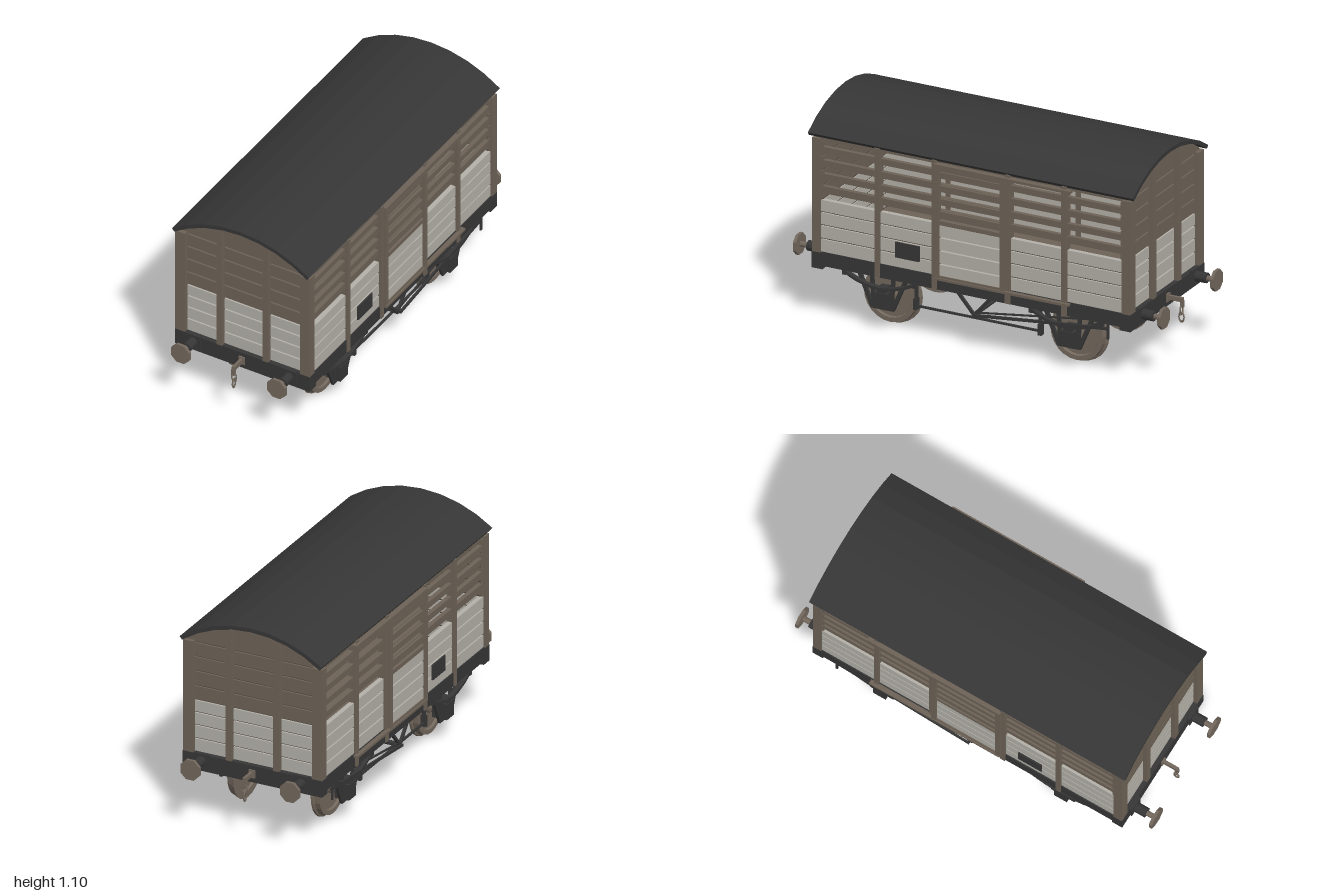
import * as THREE from 'three';

const mat = (name, color) => Object.assign(new THREE.MeshStandardMaterial({ color }), { name });

export function createModel() {
  const wood = mat('brownWood', 0x6d6256);
  const pale = mat('paleBoards', 0xb3b0a8);
  const iron = mat('darkIron', 0x363636);
  const steel = mat('wornSteel', 0x72675c);
  const groove = mat('grooveBrown', 0x4a4239);
  for (const m of [wood, pale, iron, steel, groove]) m.flatShading = true;
  const model = new THREE.Group();
  model.name = 'coveredWagon';

  const add = (name, geo, m, x = 0, y = 0, z = 0) => {
    const mesh = new THREE.Mesh(geo, m);
    mesh.name = name;
    mesh.position.set(x, y, z);
    model.add(mesh);
    return mesh;
  };
  // box given by its limits on each axis
  const box = (name, m, x0, x1, y0, y1, z0, z1) =>
    add(name, new THREE.BoxGeometry(Math.abs(x1 - x0), y1 - y0, Math.abs(z1 - z0)), m,
      (x0 + x1) / 2, (y0 + y1) / 2, (z0 + z1) / 2);
  // square bar between two points
  const bar = (name, m, a, b, w, h = w) => {
    const p = new THREE.Vector3(...a), q = new THREE.Vector3(...b);
    const mesh = add(name, new THREE.BoxGeometry(w, h, p.distanceTo(q)), m);
    mesh.position.copy(p).add(q).multiplyScalar(0.5);
    mesh.lookAt(q);
    return mesh;
  };
  const rod = (name, m, r, len, axis, x, y, z, sides = 12) => {
    const g = new THREE.CylinderGeometry(r, r, len, sides, 1);
    if (sides === 8) g.rotateY(Math.PI / 8);
    if (axis === 'x') g.rotateZ(Math.PI / 2);
    if (axis === 'z') g.rotateX(Math.PI / 2);
    return add(name, g, m, x, y, z);
  };

  // arched roof
  const R = 0.655, cy = 0.445, half = Math.asin(0.385 / R);
  const arc = (r, a, n = 8) => Array.from({ length: n + 1 }, (_, i) => {
    const t = -a + (2 * a * i) / n;
    return new THREE.Vector2(r * Math.sin(t), cy + r * Math.cos(t));
  });
  const extrude = (pts, depth) => new THREE.ExtrudeGeometry(new THREE.Shape(pts), { depth, bevelEnabled: false });
  add('roof', extrude([...arc(R, half), ...arc(R - 0.02, half).reverse()], 1.77), iron, 0, 0, -0.885);

  const paleRows = [0.36, 0.432, 0.502, 0.57, 0.636];
  const endRows = [0.636, 0.712, 0.79, 0.866, 0.942];
  const gap = 0.004;
  const roofUnder = x => cy + Math.sqrt((R - 0.018) ** 2 - x * x) - 0.006;

  // floor
  box('floor', wood, -0.35, 0.35, 0.335, 0.36, -0.82, 0.82);

  // end walls, headstocks, buffers and couplings
  for (const s of [1, -1]) {
    box('endBacking', groove, -0.36, 0.36, 0.36, 0.945, s * 0.815, s * 0.835);
    for (const [rows, m] of [[paleRows, pale], [endRows, wood]])
      for (let i = 0; i < 4; i++)
        box('endBoard', m, -0.37, 0.37, rows[i] + gap, rows[i + 1] - gap, s * 0.81, s * 0.845);
    const top = arc(R - 0.02, Math.asin(0.365 / (R - 0.02)));
    add('endGable', extrude([new THREE.Vector2(-0.365, 0.946), ...top, new THREE.Vector2(0.365, 0.946)], 0.035),
      wood, 0, 0, s > 0 ? 0.81 : -0.845);
    for (const k of [1, -1]) {
      box('endPost', wood, k * 0.113, k * 0.145, 0.36, roofUnder(0.145), s * 0.84, s * 0.868);
      box('cornerPost', wood, k * 0.323, k * 0.378, 0.36, roofUnder(0.378), s * 0.82, s * 0.866);
      // buffer: base, housing, ram and eight-sided head
      box('bufferBase', iron, k * 0.27 - 0.04, k * 0.27 + 0.04, 0.297, 0.373, s * 0.865, s * 0.882);
      rod('bufferHousing', iron, 0.026, 0.065, 'z', k * 0.27, 0.335, s * 0.91);
      rod('bufferRam', steel, 0.014, 0.05, 'z', k * 0.27, 0.335, s * 0.963);
      rod('bufferHead', steel, 0.056, 0.016, 'z', k * 0.27, 0.335, s * 0.992, 8);
    }
    box('headstock', iron, -0.378, 0.378, 0.275, 0.362, s * 0.81, s * 0.868);
    // draw hook with hanging links
    box('drawPlate', steel, -0.016, 0.016, 0.3, 0.342, s * 0.865, s * 0.876);
    box('drawHook', steel, -0.008, 0.008, 0.312, 0.334, s * 0.87, s * 0.955);
    box('hookTip', steel, -0.008, 0.008, 0.285, 0.32, s * 0.94, s * 0.958);
    for (let i = 0; i < 2; i++) {
      const link = add('chainLink', new THREE.TorusGeometry(0.014, 0.004, 6, 10), steel, 0, 0.27 - i * 0.038, s * 0.945);
      link.scale.y = 1.7;
      link.rotation.y = i ? Math.PI / 2 : 0;
    }
  }

  const slats = [[0.668, 0.704], [0.738, 0.77], [0.807, 0.84], [0.877, 0.909]];
  for (const s of [1, -1]) {
    const side = (name, m, x0, x1, ...rest) => box(name, m, s * x0, s * x1, ...rest);

    // side boards and open slats
    side('sideBacking', groove, 0.348, 0.36, 0.36, 0.63, -0.82, 0.82);
    for (let i = 0; i < 4; i++) {
      side('sideBoard', pale, 0.345, 0.37, paleRows[i] + gap, paleRows[i + 1] - gap, -0.825, 0.825);
      side('sideSlat', wood, 0.345, 0.368, ...slats[i], -0.825, 0.825);
      side('doorBoard', pale, 0.372, 0.386, paleRows[i] + gap, paleRows[i + 1] - gap, -0.18, 0.18);
      side('doorSlat', wood, 0.372, 0.386, ...slats[i], -0.18, 0.18);
    }
    side('topRail', wood, 0.345, 0.372, 0.945, 0.975, -0.825, 0.825);
    for (const z of [0.51, 0.2, -0.2, -0.508])
      side('sidePost', wood, 0.34, 0.384, 0.295, 0.965, z - 0.013, z + 0.013);

    // sliding door frame and its rails
    for (const z of [0.18, -0.18])
      side('doorStile', wood, 0.372, 0.397, 0.352, 0.952, z - 0.013, z + 0.013);
    for (const [a, b] of [[0.352, 0.372], [0.636, 0.658], [0.916, 0.952]])
      side('doorRail', wood, 0.372, 0.392, a, b, -0.18, 0.18);
    side('doorTopTrack', wood, 0.37, 0.4, 0.938, 0.952, -0.55, 0.19);
    side('doorBottomTrack', wood, 0.37, 0.4, 0.35, 0.362, -0.54, 0.19);

    // notice plate
    side('noticePlate', iron, 0.37, 0.378, 0.415, 0.495, 0.283, 0.415);

    // solebar
    side('solebar', iron, 0.335, 0.376, 0.292, 0.364, -0.82, 0.82);

    // running gear at each axle
    for (const z of [0.508, -0.508]) {
      side('axleBox', iron, 0.275, 0.355, 0.118, 0.2, z - 0.036, z + 0.036);
      side('axleBoxCap', iron, 0.29, 0.35, 0.2, 0.225, z - 0.022, z + 0.022);
      side('axleGuardFoot', iron, 0.318, 0.333, 0.108, 0.124, z - 0.06, z + 0.06);
      const leaf = new THREE.CatmullRomCurve3([-0.19, -0.1, 0, 0.1, 0.19].map(d =>
        new THREE.Vector3(s * 0.352, 0.226 + 1.5 * d * d, z + d)));
      const pts = leaf.getPoints(6);
      for (let i = 0; i < 6; i++) bar('leafSpring', iron, pts[i].toArray(), pts[i + 1].toArray(), 0.026, 0.014);
      for (const k of [1, -1]) {
        bar('axleGuardLeg', iron, [s * 0.326, 0.3, z + k * 0.135], [s * 0.326, 0.112, z + k * 0.054], 0.014, 0.02);
        bar('axleGuardInner', iron, [s * 0.326, 0.3, z + k * 0.06], [s * 0.326, 0.112, z + k * 0.046], 0.014, 0.018);
        side('springShackle', iron, 0.342, 0.366, 0.265, 0.3, z + k * 0.19 - 0.01, z + k * 0.19 + 0.01);
      }
      // flanged wheel, dished on its faces
      const profile = [[0, -0.02], [0.035, -0.02], [0.035, -0.008], [0.115, -0.008], [0.12, -0.02], [0.157, -0.02],
        [0.155, -0.01], [0.146, -0.006], [0.143, 0.02], [0.12, 0.02], [0.115, 0.008], [0.035, 0.008],
        [0.035, 0.028], [0, 0.028]].map(p => new THREE.Vector2(...p));
      const wheel = new THREE.LatheGeometry(profile, 24).rotateZ(-s * Math.PI / 2);
      add('wheel', wheel, steel, s * 0.23, 0.157, z);
      rod('journal', steel, 0.028, 0.04, 'x', s * 0.262, 0.157, z);
    }

    // brake gear
    for (const k of [1, -1]) {
      bar('brakeHanger', iron, [s * 0.3, 0.33, k * 0.335], [s * 0.3, 0.13, k * 0.34], 0.014);
      side('brakeShoe', iron, 0.285, 0.315, 0.132, 0.19, k * 0.33, k * 0.348);
      bar('veeHanger', iron, [s * 0.345, 0.3, k * 0.1], [s * 0.345, 0.185, 0], 0.014);
    }
    bar('brakeTieRod', iron, [s * 0.3, 0.15, -0.34], [s * 0.3, 0.15, 0.34], 0.01);
    bar('brakeLever', iron, [s * 0.36, 0.188, 0], [s * 0.36, 0.228, -0.38], 0.01, 0.014);
    bar('brakeLever', iron, [s * 0.36, 0.228, -0.38], [s * 0.36, 0.262, -0.74], 0.01, 0.014);
    bar('leverStay', iron, [s * 0.345, 0.2, -0.02], [s * 0.345, 0.295, -0.7], 0.008);
    side('leverGuard', iron, 0.362, 0.37, 0.21, 0.3, -0.745, -0.733);
  }

  // axles and brake cross shaft
  for (const z of [0.508, -0.508]) rod('axle', iron, 0.023, 0.5, 'x', 0, 0.157, z);
  rod('brakeCrossShaft', iron, 0.012, 0.7, 'x', 0, 0.186, 0, 8);

  return model;
}
